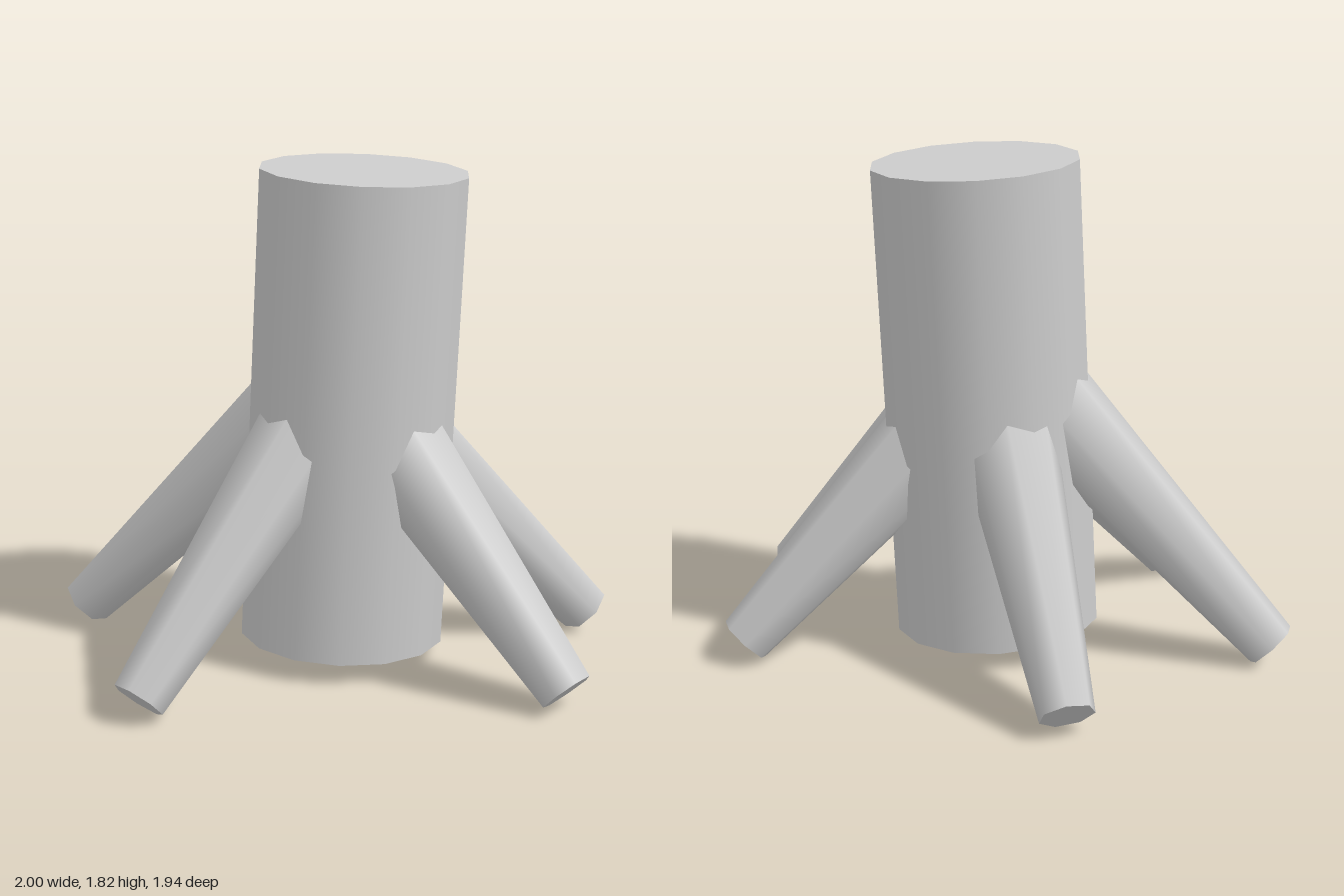
import * as THREE from 'three';

const UP = new THREE.Vector3(0, 1, 0);

// Tapered, smooth-sided round between two points, closed by flat caps
function limb(name, bottom, top, rBottom, rTop, sides, material) {
  const axis = top.clone().sub(bottom);
  const geometry = new THREE.CylinderGeometry(rTop, rBottom, axis.length(), sides);
  const mesh = new THREE.Mesh(geometry, material);
  mesh.name = name;
  mesh.position.copy(bottom).add(top).multiplyScalar(0.5);
  mesh.quaternion.setFromUnitVectors(UP, axis.normalize());
  return mesh;
}

export function createModel() {
  const group = new THREE.Group();
  group.name = 'stump';
  const grey = new THREE.MeshStandardMaterial({ color: 0xcccccc });
  grey.name = 'light grey';

  // Slightly leaning trunk, a little narrower from front to back
  const trunk = limb('trunk', new THREE.Vector3(-0.01, 0.075, 0.025),
    new THREE.Vector3(0.07, 1.805, 0.045), 0.38, 0.38, 14, grey);
  trunk.scale.z = 0.965;
  group.add(trunk);

  // Roots: tip centres, each running up at about 45 degrees into the trunk
  const tips = {
    leftRoot: [0.925, 0.078, 0.22],
    frontRoot: [0.445, 0.076, 0.9],
    rightRoot: [-0.93, 0.075, 0.335],
    backRightRoot: [-0.765, 0.072, -0.68],
    backRoot: [0.2, 0.078, -0.9],
  };
  const core = new THREE.Vector3(0.01, 0, 0.025);
  for (const [name, p] of Object.entries(tips)) {
    const tip = new THREE.Vector3(...p);
    const out = tip.clone().sub(core).setY(0);
    const reach = out.length();
    const base = core.clone().addScaledVector(out.normalize(), 0.15);
    base.y = tip.y + (reach - 0.15) * 1.02;
    group.add(limb(name, tip, base, 0.1, 0.187, 7, grey));
  }
  return group;
}
